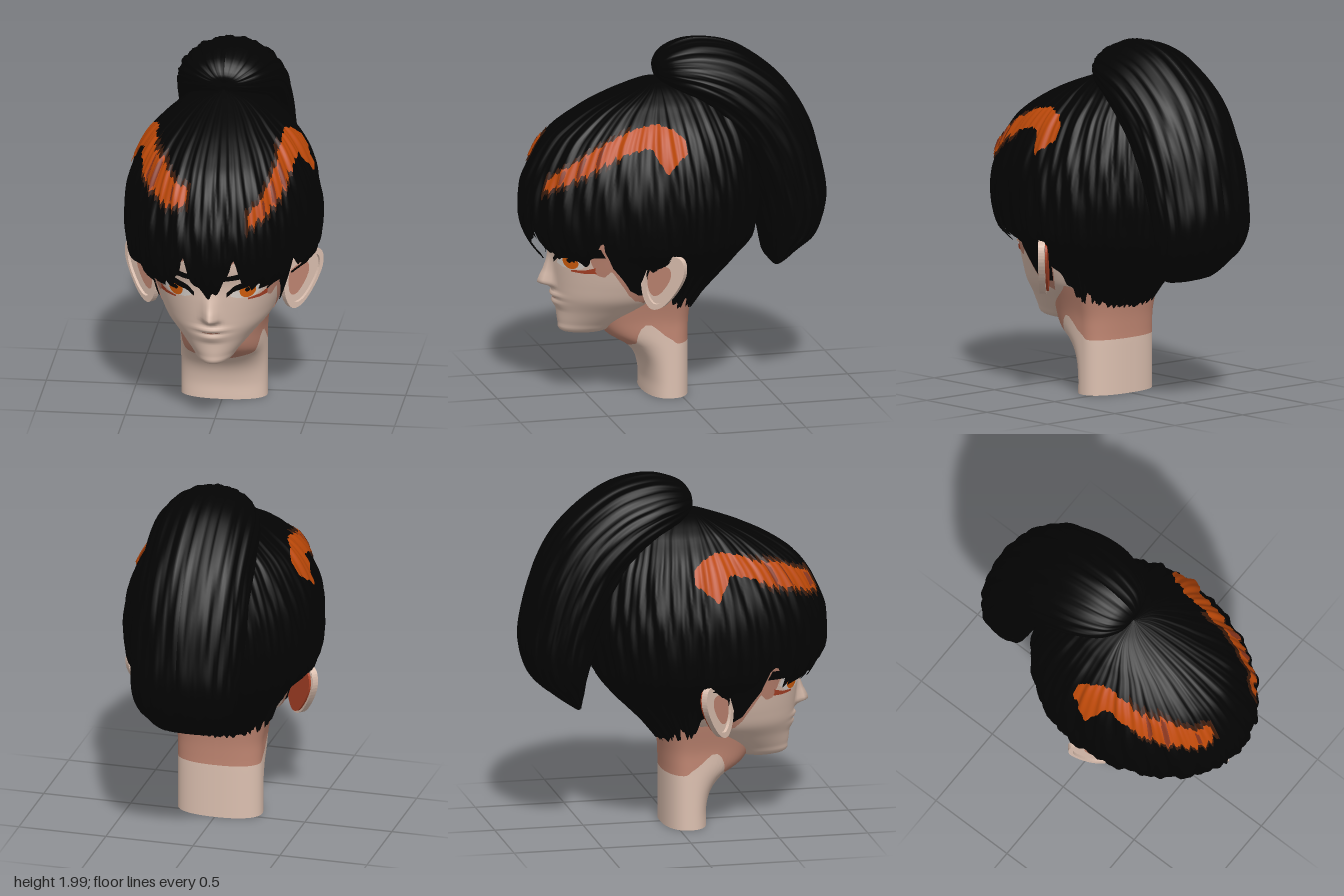
import * as THREE from 'three';

const mat = (name, color) => new THREE.MeshStandardMaterial({ name, color, side: THREE.DoubleSide });
const skin = mat('skin', 0xdcc0b0), shade = mat('skin shade', 0xc08672), red = mat('ear red', 0xb04428);
const black = mat('hair black', 0x030303), orange = mat('hair orange', 0xbc4808), brown = mat('hair brown', 0x38190a);
const rust = mat('hair rust', 0x86341c), white = mat('eye white', 0xdcd4ce), iris = mat('iris orange', 0xd9600c);

const rad = Math.PI / 180;
const spow = (v, e) => Math.sign(v) * Math.abs(v) ** e;

// Interpolates rows of numbers keyed by their first entry
function sample(rows, k, smooth = true) {
  const n = rows.length - 1;
  k = Math.min(Math.max(k, rows[0][0]), rows[n][0]);
  let i = 0;
  while (i < n - 1 && k > rows[i + 1][0]) i++;
  const [p0, p1, p2, p3] = [-1, 0, 1, 2].map(d => rows[Math.min(Math.max(i + d, 0), n)]);
  const t = (k - p1[0]) / (p2[0] - p1[0]);
  return p1.map((b, j) => {
    const c = p2[j];
    if (!smooth) return b + (c - b) * t;
    const m1 = (c - p0[j]) / (p2[0] - p0[0]) * (p2[0] - p1[0]);
    const m2 = (p3[j] - b) / (p3[0] - p1[0]) * (p2[0] - p1[0]);
    const s = t * t, q = s * t;
    return b * (2 * q - 3 * s + 1) + m1 * (q - 2 * s + t) + c * (3 * s - 2 * q) + m2 * (q - s);
  });
}

// Mesh from a grid of points fn(u, v)
function grid(name, material, nu, nv, fn) {
  const pos = [], idx = [];
  for (let j = 0; j <= nv; j++) for (let i = 0; i <= nu; i++) {
    pos.push(...fn(i / nu, j / nv));
    if (i < nu && j < nv) {
      const a = j * (nu + 1) + i, b = a + nu + 1;
      idx.push(a, a + 1, b, b, a + 1, b + 1);
    }
  }
  const g = new THREE.BufferGeometry();
  g.setAttribute('position', new THREE.Float32BufferAttribute(pos, 3));
  g.setIndex(idx);
  g.computeVertexNormals();
  const m = new THREE.Mesh(g, material);
  m.name = name;
  return m;
}

// Oval section at angle a (0 = front) of rows [y, halfWidth, front, back, centre]
function ring(rows, a, y, e = 1, off = 0, scale = 1) {
  const [, w, f, b, c] = sample(rows, y);
  const s = spow(Math.sin(a), e), k = spow(Math.cos(a), e);
  return [(w * scale + off) * s, y, c + ((k > 0 ? f - c : c - b) * scale + off) * k];
}

const FACE = [
  [.345, .003, .523, .517, .52], [.37, .085, .635, .38, .48], [.42, .135, .655, .3, .42], [.5, .215, .665, .2, .32],
  [.58, .29, .68, .1, .26], [.66, .33, .69, .05, .23], [.75, .36, .7, 0, .22], [.85, .385, .71, 0, .22],
  [.95, .405, .735, 0, .22], [1.12, .41, .75, 0, .22]];
const NOSE = [[.6, 0], [.63, .025], [.65, .08], [.68, .075], [.73, .045], [.8, .015], [.88, 0]];
const LIPS = [[.5, 0], [.545, .018], [.565, .004], [.585, .022], [.61, 0]];
const NECK = [
  [0, .24, .18, -.065, .06], [.1, .24, .18, -.065, .06], [.2, .24, .21, -.065, .06], [.28, .24, .28, -.065, .06],
  [.35, .24, .39, -.065, .06], [.45, .245, .44, -.07, .06], [.6, .28, .45, -.09, .06]];
const CAP = [
  [.48, .25, .4, -.08, .1], [.6, .3, .6, -.18, .1], [.7, .35, .68, -.28, .1], [.8, .42, .75, -.37, .1],
  [.88, .51, .81, -.43, .1], [1, .535, .86, -.46, .1], [1.1, .54, .865, -.48, .1], [1.2, .535, .855, -.48, .1],
  [1.3, .515, .82, -.47, .1], [1.4, .48, .77, -.45, .1], [1.5, .43, .695, -.42, .1], [1.56, .39, .62, -.39, .1],
  [1.6, .355, .56, -.37, .1], [1.65, .3, .47, -.34, .1], [1.7, .24, .355, -.3, .1], [1.76, .13, .19, -.15, .1], [1.79, 0, .1, .1, .1]];
// Lower hair edge: [degrees from the front, y]
const HEM = [[0, .79], [5, .84], [11, .93], [15, 1.07], [18, .96], [24, .86], [32, .86], [40, .83], [47, .82], [51, .9],
  [57, .96], [64, .9], [70, .84], [78, .78], [88, .66], [96, .56], [112, .51], [180, .49]];
// Hair in front of the ear and the shaded skin bordering it: [degrees on the face, y]
const SIDEBURN = [[60, .9], [65, .8], [71, .74], [78, .66], [85, .63], [100, .63]];
const TEMPLE = [[46, .9], [50, .81], [54, .75], [59, .74], [64, .78], [71, .7], [78, .63], [85, .59], [100, .57]];

// Face relief
const bump = (x, y) => sample(NOSE, y)[1] * Math.exp(-((x / .035) ** 2)) + sample(LIPS, y)[1] * Math.exp(-((x / .08) ** 2));
function facePoint(x, y, off) {
  const [, w, f, , c] = sample(FACE, y);
  const s = Math.min(Math.abs(x) / w, .97);
  return [x, y, c + (f - c) * Math.sqrt(1 - s * s) + bump(x, y) + off];
}
// Thin plate on the face between a lower and an upper line of [x, low, high]
const plate = (name, m, rows, side, off) => grid(name, m, 14, 3, (u, v) => {
  const [x, lo, hi] = sample(rows, rows[0][0] + u * (rows[rows.length - 1][0] - rows[0][0]), false);
  return facePoint(side * x, lo + (hi - lo) * v, off);
});
const disc = (name, m, x, y, r, side, off) => grid(name, m, 20, 2, (u, v) =>
  facePoint(side * (x + r * v * Math.cos(u * 2 * Math.PI)), y + r * v * Math.sin(u * 2 * Math.PI), off));
// Layer on the side of the face, hanging down to a hem
const sideLayer = (name, m, rows, side, off) => grid(name, m, 40, 14, (u, v) => {
  const d = rows[0][0] + u * (100 - rows[0][0]), lo = sample(rows, d, false)[1];
  const p = ring(FACE, d * rad, lo + (1.05 - lo) * v, 1, off);
  return [side * p[0], p[1], p[2]];
});

// Strand ripples on the hair
const strands = (a, y) => .006 * Math.sin(33 * a + 3 * Math.sin(5 * y)) + .005 * Math.sin(19 * a + 7 * y) + .004 * Math.sin(71 * a + 4 * y);
const capPoint = (a, y, off = 0) => ring(CAP, a, y, 1, off + strands(a, y) * Math.min(1, (1.79 - y) * 4));

function buildFace(group) {
  group.add(grid('face', skin, 96, 70, (u, v) => {
    const a = (u - .5) * 2 * Math.PI, y = .345 + v * .775, p = ring(FACE, a, y);
    if (Math.cos(a) > 0) p[2] += bump(p[0], y);
    return p;
  }));
  group.add(plate('mouth', shade, [[-.05, .568, .572], [0, .562, .572], [.05, .568, .572]], 1, .004));
  for (const s of [1, -1]) {
    group.add(
      plate('eyeWhite', white, [[.11, .79, .8], [.15, .775, .835], [.24, .775, .85], [.28, .81, .85]], s, .006),
      disc('iris', iris, .2, .815, .042, s, .009),
      disc('pupil', black, .2, .822, .013, s, .012),
      plate('upperLash', black, [[.09, .79, .815], [.13, .822, .855], [.22, .842, .885], [.34, .86, .91]], s, .014),
      plate('lowerLash', red, [[.2, .758, .768], [.26, .755, .775], [.3, .76, .795], [.34, .785, .81]], s, .01),
      plate('eyebrow', black, [[.04, .885, .91], [.15, .89, .925], [.32, .92, .955]], s, .008),
      plate('fringeShadow', shade, [[.1, .98, 1], [.14, 1, 1.1], [.18, .98, 1.02]], s, .005),
      sideLayer('templeShadow', shade, TEMPLE, s, .005),
      sideLayer('sideburn', black, SIDEBURN, s, .014));
  }
}

function buildNeck(group) {
  const border = a => .31 + .12 * Math.exp(-(((Math.abs(a) / rad - 72) / 14) ** 2)) - .04 * Math.exp(-((a / .5) ** 2));
  const part = (name, m, lo, hi) => group.add(grid(name, m, 72, 16, (u, v) => {
    const a = (u - .5) * 2 * Math.PI, y0 = lo(a);
    return ring(NECK, a, y0 + (hi(a) - y0) * v, .85);
  }));
  part('neck', skin, () => 0, border);
  part('neckShadow', shade, border, () => .6);
  group.add(grid('neckBase', skin, 72, 1, (u, v) => ring(NECK, u * 2 * Math.PI, 0, .85, 0, v)));
}

// Ear: flap swept out and back, with a hollow in front and a red back
function buildEar(side) {
  const ear = new THREE.Group();
  ear.name = side > 0 ? 'leftEar' : 'rightEar';
  const outline = [[0, .8], [.07, .86], [.18, .89], [.25, .87], [.262, .79], [.2, .67], [.11, .58], [.05, .57], [0, .64]];
  const shape = (k, cx = .14, cy = .735) => new THREE.Shape(new THREE.CatmullRomCurve3(
    outline.map(([x, y]) => new THREE.Vector3(cx + (x - .14) * k, cy + (y - .735) * k, 0)), true).getPoints(48)
    .map(p => new THREE.Vector2(p.x, p.y)));
  const rim = shape(1);
  rim.holes.push(shape(.8));
  const add = (name, geo, m, z) => {
    const mesh = new THREE.Mesh(geo, m);
    mesh.name = name;
    mesh.position.z = z;
    ear.add(mesh);
  };
  add('earFlap', new THREE.ExtrudeGeometry(shape(.96), { depth: .02, bevelEnabled: false }), skin, 0);
  add('earRim', new THREE.ExtrudeGeometry(rim, { depth: .035, bevelEnabled: false }), skin, .002);
  add('earHollow', new THREE.ShapeGeometry(shape(.55, .105, .735)), shade, .024);
  add('earBack', new THREE.ExtrudeGeometry(shape(.9), { depth: .012, bevelEnabled: false }), red, -.013);
  ear.rotation.y = Math.PI / 4;
  ear.position.set(.34, 0, .24);
  const holder = new THREE.Group();
  holder.name = 'ear';
  holder.add(ear);
  holder.scale.x = side;
  return holder;
}

function buildHair(group) {
  group.add(grid('hairCap', black, 300, 48, (u, v) => {
    const a = (u - .5) * 2 * Math.PI, d = Math.abs(a) / rad;
    const hem = sample(HEM, d, false)[1] + .02 * Math.sin(a * 47) * (d < 60 ? 1 : .5);
    return capPoint(a, hem + (1.79 - hem) * (1 - (1 - v) ** 1.7));
  }));

  // Ponytail sections: [step, outer z, outer y, inner z, inner y, half width, squareness]
  const TAIL = [
    [0, .1, 1.83, .1, 1.81, .02, 1], [.4, .1, 1.88, .09, 1.77, .1, 1], [1, .03, 1.95, .02, 1.7, .2, 1.05], [2, -.15, 1.99, -.1, 1.6, .275, 1.1],
    [3, -.38, 1.93, -.2, 1.5, .3, 1.05], [4, -.62, 1.74, -.28, 1.4, .31, 1], [5, -.765, 1.5, -.36, 1.25, .315, 1],
    [6, -.835, 1.25, -.42, 1.1, .31, 1], [7, -.855, 1.05, -.46, .98, .3, .95], [8, -.8, .88, -.48, .93, .28, .9],
    [9, -.7, .79, -.5, .87, .25, .85], [10, -.56, .69, -.54, .72, .16, .85], [10.2, -.55, .7, -.55, .705, .02, .85]];
  group.add(grid('ponytail', black, 140, 80, (u, v) => {
    const a = u * 2 * Math.PI, [, oz, oy, iz, iy, w, e] = sample(TAIL, v * 10.2);
    const r = 1 + .016 * Math.sin(23 * a + 3 * Math.sin(v * 6)) + .012 * Math.sin(13 * a + v * 14) + .01 * Math.sin(53 * a + v * 9);
    const k = spow(Math.cos(a), e) * r / 2;
    return [w * r * spow(Math.sin(a), e), (oy + iy) / 2 + (oy - iy) * k, (oz + iz) / 2 + (oz - iz) * k];
  }));

  // Dyed streaks: [degrees from the front, low y, high y]
  const back = [[55, 1.41, 1.54], [65, 1.47, 1.59], [77, 1.5, 1.61], [81, 1.44, 1.61], [85, 1.36, 1.6], [91, 1.42, 1.58], [97, 1.46, 1.53]];
  const left = [[24, 1.23, 1.3], [36, 1.29, 1.39], [45, 1.34, 1.47], ...back];
  const right = [[15, 1.35, 1.43], [28, 1.33, 1.46], [42, 1.38, 1.53], ...back];
  for (const [rows, s] of [[left, 1], [right, -1]]) {
    const streak = (name, m, from, to, grow, off) => group.add(grid(name, m, 100, 8, (u, v) => {
      const d = from + u * (to - from), [, lo, hi] = sample(rows, d, false);
      const jag = (.014 * Math.sin(d * 1.3) + .01 * Math.sin(d * 2.9)) * (d < 62 ? 1 : .4);
      const y0 = lo - grow + jag, y1 = hi + grow - jag * .6;
      return capPoint(s * d * rad, y0 + (y1 - y0) * v, off);
    }));
    const start = rows[0][0];
    streak('streakEdge', brown, start - 2, 62, .028, .007);
    streak('streak', orange, start, 97, 0, .013);
    for (const [d, w] of [[start + 9, 2], [41, 3], [50, 2.5]]) streak('streakRust', rust, d, d + w, -.015, .017);
  }
}

export function createModel() {
  const model = new THREE.Group();
  model.name = 'head';
  buildNeck(model);
  buildFace(model);
  model.add(buildEar(1), buildEar(-1));
  buildHair(model);
  return model;
}
